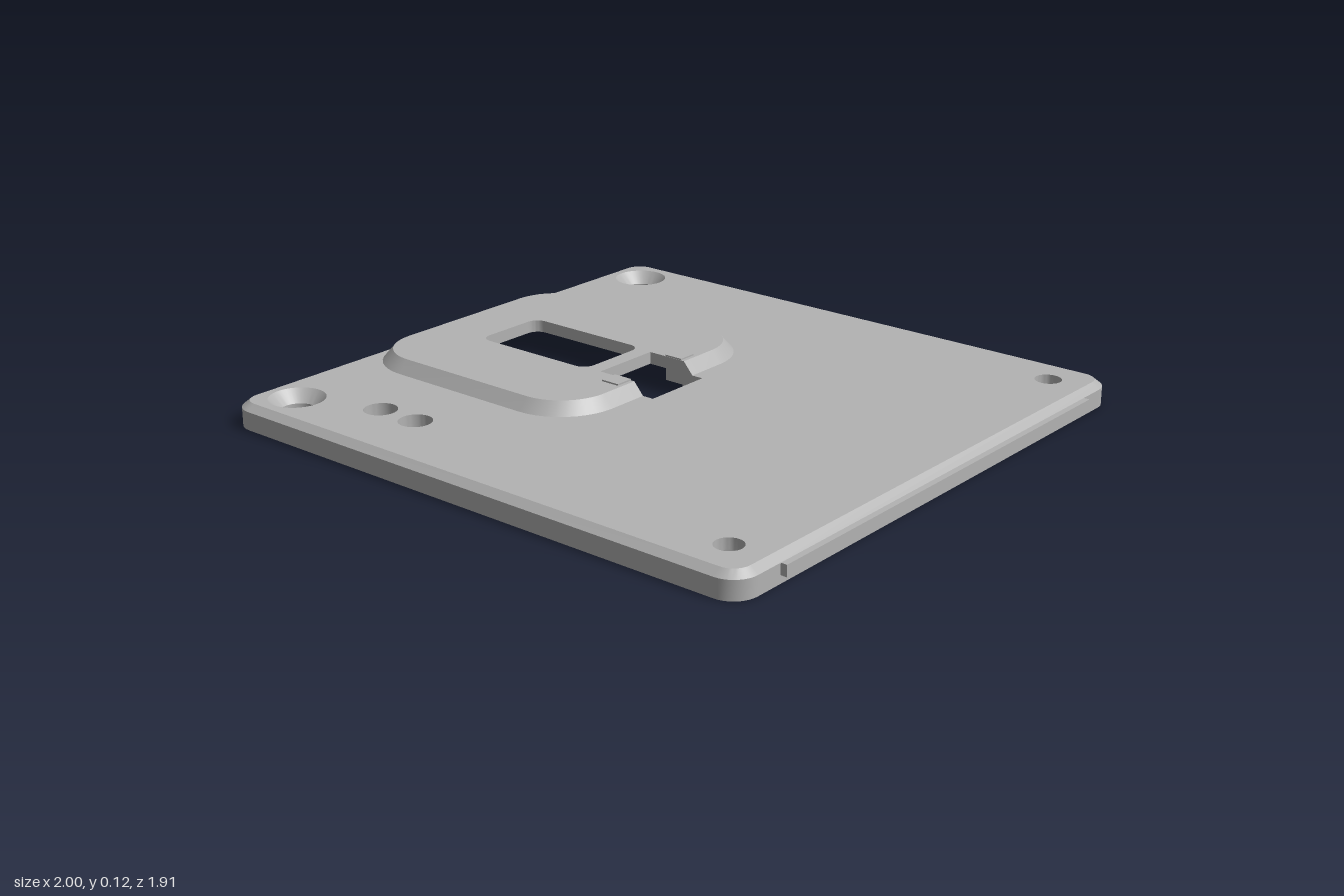
import * as THREE from 'three';
import { mergeGeometries, toCreasedNormals } from 'three/addons/utils/BufferGeometryUtils.js';

const NOTCH = { back: -0.225, front: -0.01, half: 0.12 };

// Outline points are (x, z) pairs
function roundedRect(x0, x1, z0, z1, r, steps = 10) {
  const pts = [];
  const corners = [[x1 - r, z1 - r], [x0 + r, z1 - r], [x0 + r, z0 + r], [x1 - r, z0 + r]];
  corners.forEach(([cx, cz], k) => {
    for (let i = 0; i <= steps; i++) {
      const a = (k + i / steps) * Math.PI / 2;
      pts.push(new THREE.Vector2(cx + r * Math.cos(a), cz + r * Math.sin(a)));
    }
  });
  return pts;
}

function circle(x, z, r, n = 40) {
  return Array.from({ length: n }, (_, i) => {
    const a = i / n * Math.PI * 2;
    return new THREE.Vector2(x + r * Math.cos(a), z + r * Math.sin(a));
  });
}

// Open outline that stops on either side of the notch in its +x edge
function gapped(x0, x1, z0, z1, r) {
  return [new THREE.Vector2(x1, NOTCH.half), ...roundedRect(x0, x1, z0, z1, r), new THREE.Vector2(x1, -NOTCH.half)];
}

// Close a gapped outline along the notch: cut back into it or pushed out beyond it
const closeAt = (loop, x) =>
  [...loop, new THREE.Vector2(x, -NOTCH.half), new THREE.Vector2(x, NOTCH.half)];

function fromTriangles(p) {
  const g = new THREE.BufferGeometry();
  g.setAttribute('position', new THREE.Float32BufferAttribute(p, 3));
  g.computeVertexNormals();
  return g;
}

// Flat horizontal face with holes, facing up or down
function cap(outline, holes, y, up) {
  const shape = new THREE.Shape(outline);
  shape.holes = holes.map(h => new THREE.Path(h));
  const pos = new THREE.ShapeGeometry(shape).toNonIndexed().attributes.position;
  const p = [];
  for (let i = 0; i < pos.count; i += 3) {
    for (const k of up ? [0, 2, 1] : [0, 1, 2]) p.push(pos.getX(i + k), y, pos.getY(i + k));
  }
  return fromTriangles(p);
}

// Wall between two matching outlines; inward walls line holes
function wall(a, ya, b, yb, { inward = false, open = false } = {}) {
  const p = [];
  const n = a.length;
  for (let i = 0; i < n - (open ? 1 : 0); i++) {
    const j = (i + 1) % n;
    if (a[i].distanceTo(a[j]) < 1e-6) continue;
    const A = [a[i].x, ya, a[i].y], B = [b[i].x, yb, b[i].y];
    const C = [a[j].x, ya, a[j].y], D = [b[j].x, yb, b[j].y];
    p.push(...(inward ? [A, C, B, C, D, B] : [A, B, C, C, B, D]).flat());
  }
  return fromTriangles(p);
}

export function createModel() {
  const group = new THREE.Group();
  const grey = new THREE.MeshStandardMaterial({ color: 0xb3b3b3, side: THREE.DoubleSide });
  grey.name = 'grey';
  const add = (name, parts) => {
    const clean = parts.map(g => {
      const q = g.index ? g.toNonIndexed() : g;
      q.deleteAttribute('uv');
      return q;
    });
    const mesh = new THREE.Mesh(toCreasedNormals(mergeGeometries(clean), 0.5), grey);
    mesh.name = name;
    group.add(mesh);
  };
  const inward = { inward: true };

  // Heights
  const step = 0.04, edge = 0.06, deck = 0.08, top = 0.12;

  // Outlines
  const outer = roundedRect(-1, 0.98, -0.955, 0.955, 0.08);
  const outerTop = roundedRect(-0.975, 0.955, -0.93, 0.93, 0.055);
  const padBase = gapped(-0.975, -0.05, -0.4625, 0.4625, 0.2);
  const padTop = gapped(-0.94, -0.085, -0.4275, 0.4275, 0.165);
  const recess = gapped(-0.935, -0.09, -0.4225, 0.4225, 0.004);
  const inner = gapped(-0.865, -0.16, -0.3525, 0.3525, 0.12);
  const windowHole = roundedRect(-0.74, -0.28, -0.133, 0.13, 0.04);

  // Screw holes: countersunk above on one side, counterbored below on the other
  const topHoles = [], bottomHoles = [], holeWalls = [];
  for (const z of [-0.81, 0.81]) {
    const sink = circle(-0.86, z, 0.09), shaft = circle(-0.86, z, 0.055);
    topHoles.push(sink);
    bottomHoles.push(shaft);
    holeWalls.push(wall(shaft, 0.04, sink, deck, inward), wall(shaft, 0, shaft, 0.04, inward));

    const bore = circle(0.835, z, 0.088), pin = circle(0.835, z, 0.043);
    topHoles.push(pin);
    bottomHoles.push(bore);
    holeWalls.push(wall(bore, 0, bore, 0.045, inward), cap(bore, [pin], 0.045, false),
      wall(pin, 0.045, pin, deck, inward));
  }
  // Pair of plain through holes
  for (const x of [-0.587, -0.435]) {
    const c = circle(x, 0.715, 0.053);
    topHoles.push(c);
    bottomHoles.push(c);
    holeWalls.push(wall(c, 0, c, deck, inward));
  }

  add('basePlate', [
    cap(outer, [closeAt(recess, NOTCH.front), ...bottomHoles], 0, false),
    wall(outer, 0, outer, edge),
    wall(outer, edge, outerTop, deck),
    cap(outerTop, [closeAt(padBase, NOTCH.front), ...topHoles], deck, true),
  ]);
  add('screwHoles', holeWalls);

  // Raised pad with sloping sides and a window
  add('raisedPad', [
    wall(padBase, deck, padTop, top, { open: true }),
    cap(closeAt(padTop, NOTCH.back), [windowHole], top, true),
    wall(windowHole, deck, windowHole, top, inward),
  ]);

  // Stepped hollow under the pad
  const rim = [...recess, ...[...inner].reverse()];
  add('undersideRecess', [
    wall(recess, 0, recess, step, { inward: true, open: true }),
    cap(rim, [], step, false),
    wall(inner, step, inner, deck, { inward: true, open: true }),
    cap(closeAt(inner, NOTCH.back), [windowHole], deck, false),
  ]);

  // Notch walls: the side faces follow the section through plate and pad
  const section = new THREE.Shape([
    [-0.225, deck], [-0.16, deck], [-0.16, step], [-0.09, step], [-0.09, 0],
    [-0.01, 0], [-0.01, deck], [-0.05, deck], [-0.085, top], [-0.225, top],
  ].map(([x, y]) => new THREE.Vector2(x, y)));
  const h = NOTCH.half;
  add('notchWalls', [
    new THREE.ShapeGeometry(section).translate(0, 0, -h),
    new THREE.ShapeGeometry(section).rotateY(Math.PI).scale(-1, 1, 1).translate(0, 0, h),
    new THREE.PlaneGeometry(2 * h, top - deck).rotateY(Math.PI / 2).translate(NOTCH.back, (top + deck) / 2, 0),
    new THREE.PlaneGeometry(2 * h, deck).rotateY(-Math.PI / 2).translate(NOTCH.front, deck / 2, 0),
  ]);

  // Small tabs beside the notch
  for (const s of [-1, 1]) {
    add(s > 0 ? 'frontTab' : 'backTab',
      [new THREE.BoxGeometry(0.065, 0.02, 0.062).translate(-0.13, 0.115, s * 0.152)]);
  }

  // Tongue along the +x edge
  add('edgeTongue', [new THREE.BoxGeometry(0.04, 0.035, 1.56).translate(0.98, 0.0425, 0)]);

  return group;
}
